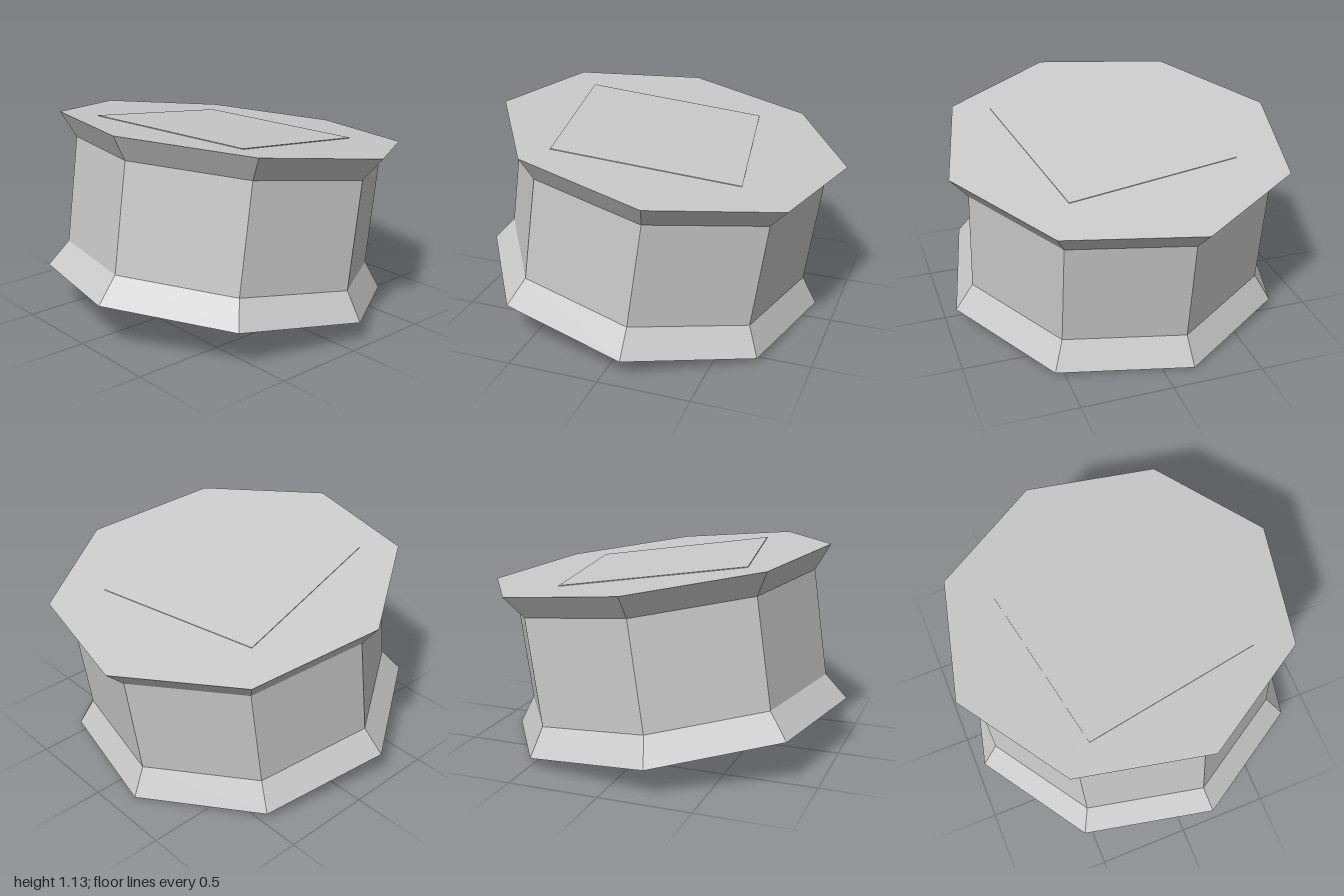
import * as THREE from 'three';

const SIDES = 8;
const RIM = 0.963, WAIST = 0.862, HEIGHT = 0.873;
const LOW = 0.148, HIGH = 0.743; // heights where the flares meet the drum
const rad = THREE.MathUtils.degToRad;

export function createModel() {
  const grey = new THREE.MeshStandardMaterial({ color: 0xcccccc, flatShading: true });
  grey.name = 'light grey';

  const model = new THREE.Group();
  model.name = 'octagonalSpool';

  // Eight-sided ring of faces from a bottom-to-top [radius, height] profile
  const addRing = (name, profile) => {
    const points = profile.map(([r, y]) => new THREE.Vector2(r, y));
    const mesh = new THREE.Mesh(new THREE.LatheGeometry(points, SIDES, rad(10)), grey);
    mesh.name = name;
    model.add(mesh);
  };
  addRing('baseFlare', [[0, 0], [RIM, 0], [WAIST, LOW]]);
  addRing('drum', [[WAIST, LOW], [WAIST, HIGH]]);
  addRing('topFlare', [[WAIST, HIGH], [RIM, HEIGHT], [0, HEIGHT]]);

  // Thin square plates let into both end faces
  const addPlate = (name, y, turn) => {
    const plate = new THREE.Mesh(new THREE.BoxGeometry(1, 0.008, 1), grey);
    plate.name = name;
    plate.position.set(-0.065, y, 0.01);
    plate.rotation.y = rad(turn);
    model.add(plate);
  };
  addPlate('topPlate', HEIGHT, 10);
  addPlate('bottomPlate', 0, 5);

  // The whole spool leans toward its left, resting on one corner
  model.rotation.z = rad(-8.1);
  model.position.set(-0.0615, 0.134, 0);

  const group = new THREE.Group();
  group.name = 'leaningSpool';
  group.add(model);
  return group;
}
